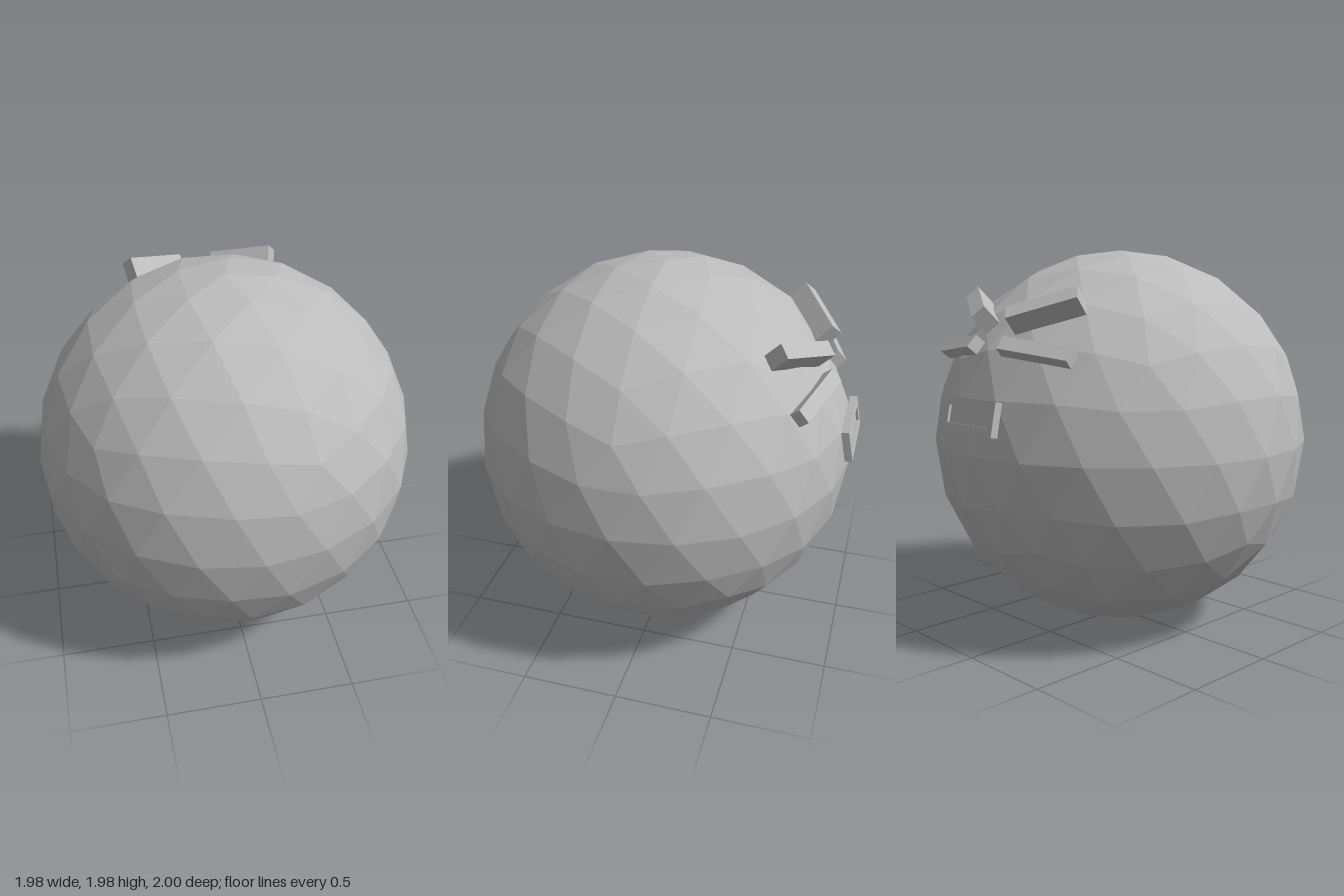
import * as THREE from 'three';

export function createModel() {
  const model = new THREE.Group();
  const grey = new THREE.MeshStandardMaterial({ color: 0xbcbcbc, flatShading: true });
  grey.name = 'grey';

  const add = (name, geometry, parent = model) => {
    const mesh = new THREE.Mesh(geometry, grey);
    mesh.name = name;
    parent.add(mesh);
    return mesh;
  };

  // Faceted ball, turned so that a main corner points straight up
  const R = 0.988;
  const ball = new THREE.IcosahedronGeometry(R, 3);
  ball.rotateZ(-Math.atan(2 / (1 + Math.sqrt(5))));
  ball.computeVertexNormals();
  add('ball', ball).position.set(0, R, 0.012);

  // Slanted bar given by its centre, length direction, outward direction and size
  const bar = (name, side, centre, along, outward, size) => {
    const x = new THREE.Vector3(side * along[0], along[1], along[2]).normalize();
    const z = new THREE.Vector3().crossVectors(x, new THREE.Vector3(side * outward[0], outward[1], outward[2])).normalize();
    const y = new THREE.Vector3().crossVectors(z, x);
    const mesh = add(name, new THREE.BoxGeometry(...size));
    mesh.quaternion.setFromRotationMatrix(new THREE.Matrix4().makeBasis(x, y, z));
    mesh.position.set(side * centre[0], centre[1], centre[2]);
  };

  // Eyebrows and eyes, mirrored on the back
  for (const [label, side] of [['left', 1], ['right', -1]]) {
    bar(label + 'Eyebrow', side, [0.246, 1.672, -0.709], [-0.296, -0.096, -0.182], [0.02, 0.08, -0.075], [0.36, 0.112, 0.08]);
    bar(label + 'Eye', side, [0.289, 1.487, -0.805], [-0.375, 0.043, -0.1], [0.016, 0.039, -0.042], [0.39, 0.06, 0.074]);
  }

  // Mouth: a rectangular frame around a shallow slot
  const mouth = new THREE.Group();
  mouth.name = 'mouth';
  mouth.position.set(0, 1.18, -0.967);
  mouth.rotation.set(0.2, Math.PI, 0);
  model.add(mouth);

  const rectangle = (path, w, h) => {
    path.moveTo(-w, -h).lineTo(w, -h).lineTo(w, h).lineTo(-w, h).closePath();
    return path;
  };
  const outline = rectangle(new THREE.Shape(), 0.195, 0.082);
  outline.holes.push(rectangle(new THREE.Path(), 0.16, 0.042));
  const frame = new THREE.ExtrudeGeometry(outline, { depth: 0.038, bevelEnabled: false });
  frame.translate(0, 0, -0.019);
  add('mouthFrame', frame, mouth);
  add('mouthSlotFloor', new THREE.BoxGeometry(0.33, 0.094, 0.022), mouth).position.z = -0.006;

  return model;
}
